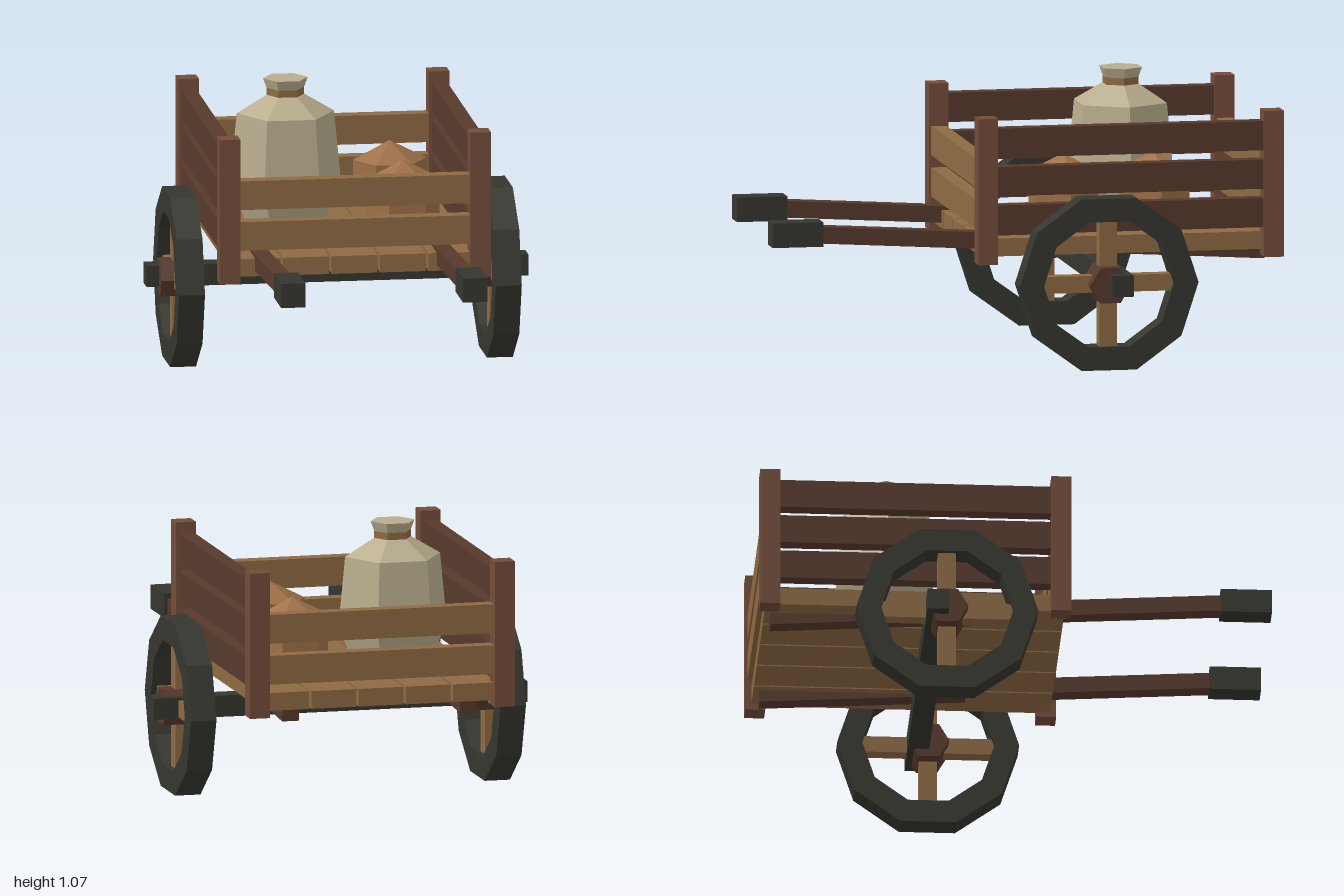
import * as THREE from 'three';

const mat = (name, color) => {
  const m = new THREE.MeshStandardMaterial({ color, flatShading: true });
  m.name = name;
  return m;
};

export function createModel() {
  const wood = mat('light wood', 0x8e6a43);
  const postWood = mat('red brown wood', 0x744c3a);
  const darkWood = mat('dark wood', 0x57392c);
  const iron = mat('charcoal', 0x35362e);
  const clay = mat('pale clay', 0xb8ad8d);
  const sack = mat('tan sack', 0x9e7046);

  const cart = new THREE.Group();
  cart.name = 'handCart';

  const add = (name, geo, material, x, y, z, parent = cart) => {
    const mesh = new THREE.Mesh(geo, material);
    mesh.name = name;
    mesh.position.set(x, y, z);
    parent.add(mesh);
    return mesh;
  };
  const box = (name, w, h, d, material, x, y, z, parent) =>
    add(name, new THREE.BoxGeometry(w, h, d), material, x, y, z, parent);

  const frontZ = 0.172, backZ = -0.961, midZ = (frontZ + backZ) / 2;
  const bedLength = frontZ - backZ;

  // Floor planks
  for (let i = -2; i <= 2; i++) {
    box('floorPlank', 0.18, 0.07, bedLength + 0.03, wood, i * 0.19, 0.465, midZ);
  }

  // Corner posts
  for (const x of [-0.492, 0.492]) {
    for (const z of [frontZ, backZ]) box('cornerPost', 0.08, 0.574, 0.078, postWood, x, 0.693, z);
  }

  // Side rails, three on each side
  for (const x of [-0.492, 0.492]) {
    for (const y of [0.58, 0.731, 0.882]) {
      box('sideRail', 0.058, 0.115, bedLength, darkWood, x, y, midZ);
    }
  }

  // End rails, two at each end
  for (const z of [frontZ, backZ]) {
    for (const y of [0.593, 0.755]) box('endRail', 0.95, 0.114, 0.06, wood, 0, y, z);
  }

  // Sloping shafts with square grips
  for (const x of [-0.357, 0.357]) {
    const shaft = box('shaft', 0.067, 0.065, 1.84, darkWood, x, 0.4695, -0.035);
    shaft.rotation.x = -0.061;
    box('shaftGrip', 0.096, 0.096, 0.2, iron, x, 0.526, 0.9);
  }

  // Axle
  box('axle', 1.5, 0.084, 0.084, iron, 0, 0.34, -0.32);

  // Wheels: ten-sided rim, crossed spokes, six-sided hub
  const decagon = (path, r) => {
    for (let i = 0; i < 10; i++) {
      const a = (i / 10) * Math.PI * 2;
      if (i === 0) path.moveTo(r, 0);
      else path.lineTo(r * Math.cos(a), r * Math.sin(a));
    }
    path.closePath();
    return path;
  };
  const rimShape = decagon(new THREE.Shape(), 0.354);
  rimShape.holes.push(decagon(new THREE.Path(), 0.258));
  const rimGeo = new THREE.ExtrudeGeometry(rimShape, { depth: 0.102, bevelEnabled: false });
  rimGeo.translate(0, 0, -0.051).rotateY(Math.PI / 2);
  const hubGeo = new THREE.CylinderGeometry(0.08, 0.08, 0.16, 6).rotateZ(Math.PI / 2);

  for (const x of [-0.622, 0.622]) {
    const wheel = new THREE.Group();
    wheel.name = x > 0 ? 'leftWheel' : 'rightWheel';
    wheel.position.set(x, 0.337, -0.28);
    cart.add(wheel);
    add('rim', rimGeo, iron, 0, 0, 0, wheel);
    box('uprightSpoke', 0.06, 0.52, 0.07, wood, 0, 0, 0, wheel);
    box('levelSpoke', 0.058, 0.066, 0.53, wood, 0, 0, 0, wheel);
    add('hub', hubGeo, darkWood, 0, 0, 0, wheel);
  }

  // Six-sided jar: body, neck band and flared rim
  const lathe = (pts) =>
    new THREE.LatheGeometry(pts.map(([r, y]) => new THREE.Vector2(r, y)), 6).rotateY(Math.PI / 6);
  const jar = new THREE.Group();
  jar.name = 'jar';
  jar.position.set(-0.174, 0, -0.493);
  cart.add(jar);
  add('jarBody', lathe([[0, 0.502], [0.157, 0.502], [0.217, 0.665], [0.191, 0.932], [0.074, 1.002], [0, 1.002]]),
    clay, 0, 0, 0, jar);
  add('neckBand', lathe([[0.074, 1.0], [0.074, 1.03]]), wood, 0, 0, 0, jar);
  add('jarRim', lathe([[0, 1.028], [0.073, 1.028], [0.088, 1.068], [0, 1.068]]), clay, 0, 0, 0, jar);

  // Faceted sacks
  const sackGeo = new THREE.SphereGeometry(0.166, 6, 3).scale(1, 0.89, 1);
  for (const z of [-0.545, -0.185]) add('sack', sackGeo, sack, 0.243, 0.648, z);

  return cart;
}
